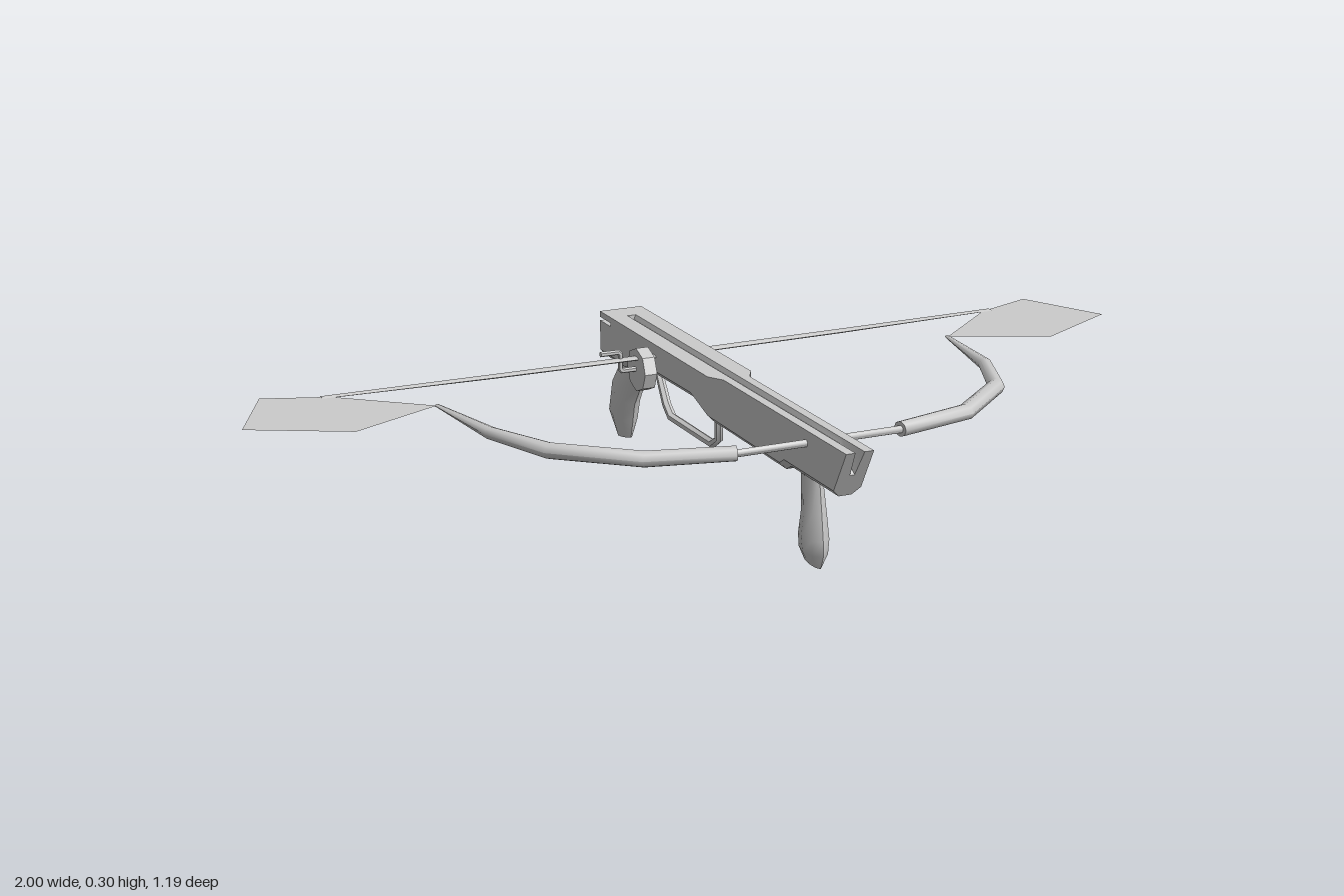
import * as THREE from 'three';
import { toCreasedNormals } from 'three/addons/utils/BufferGeometryUtils.js';

const V = (x, y, z) => new THREE.Vector3(x, y, z);
const grey = new THREE.MeshStandardMaterial({ color: 0xcccccc });
const thin = new THREE.MeshStandardMaterial({ color: 0xcccccc, side: THREE.DoubleSide });

// Skin a list of rings; outline is the 2D contour used to triangulate the caps
function loft(rings, outline, crease = 0.7) {
  const n = outline.length, last = (rings.length - 1) * n, index = [];
  for (let i = 0; i < rings.length - 1; i++) {
    for (let j = 0; j < n; j++) {
      const a = i * n + j, b = i * n + (j + 1) % n;
      index.push(a, b, b + n, a, b + n, a + n);
    }
  }
  for (const [a, b, c] of THREE.ShapeUtils.triangulateShape(outline, [])) {
    index.push(a, c, b, last + a, last + b, last + c);
  }
  const geo = new THREE.BufferGeometry().setFromPoints(rings.flat());
  geo.setIndex(index);
  return toCreasedNormals(geo, crease);
}

// Sweep an elliptical ring along a planar path; each point is [x, y, z, inPlaneRadius, acrossRadius]
function sweep(points, up, sides = 8, crease = 0.9) {
  const path = points.map(p => V(p[0], p[1], p[2]));
  const circle = [];
  for (let j = 0; j < sides; j++) {
    const a = (j / sides) * Math.PI * 2;
    circle.push(new THREE.Vector2(Math.cos(a), Math.sin(a)));
  }
  const rings = path.map((p, i) => {
    const t = V(0, 0, 0);
    if (i > 0) t.add(p.clone().sub(path[i - 1]).normalize());
    if (i < path.length - 1) t.add(path[i + 1].clone().sub(p).normalize());
    const side = up.clone().cross(t.normalize());
    const [, , , r1, r2 = r1] = points[i];
    return circle.map(c => p.clone().addScaledVector(side, c.x * r1).addScaledVector(up, c.y * r2));
  });
  return loft(rings, circle, crease);
}

// Stock section: flat top with a groove of depth d, chamfered underside
function section(w, b, t, d) {
  const c = 0.016, g = 0.01;
  const half = [[w - c, b], [w, b + c], [w, t], [g, t], [g * 0.5, t - d]];
  const mirrored = half.map(([x, y]) => [-x, y]).reverse();
  return [...half, ...mirrored].map(([x, y]) => new THREE.Vector2(x, y));
}

// Stations are [z, halfWidth, bottom, grooveDepth, frontRake]
function stock(stations, top) {
  const outlines = stations.map(([, w, b, d]) => section(w, b, top, d));
  const rings = stations.map(([z, , b, , rake = 0], i) =>
    outlines[i].map(p => V(p.x, p.y, z + rake * (p.y - b))));
  return loft(rings, outlines[0], 0.6);
}

export function createModel() {
  const model = new THREE.Group();
  const add = (name, geo, material = grey) => {
    const mesh = new THREE.Mesh(geo, material);
    mesh.name = name;
    model.add(mesh);
    return mesh;
  };
  const X = V(1, 0, 0), Y = V(0, 1, 0), Z = V(0, 0, 1);

  // Stock, with a slot left open between tail and top plate at the rear
  add('stock', stock([
    [-0.49, 0.05, 0.2, 0.01],
    [-0.45, 0.05, 0.2, 0.01],
    [-0.38, 0.05, 0.228, 0.01],
    [-0.07, 0.05, 0.232, 0.01],
    [0.015, 0.05, 0.205, 0.01],
    [0.05, 0.03, 0.19, 0.01],
    [0.31, 0.03, 0.188, 0.01],
    [0.33, 0.03, 0.2, 0.01],
    [0.5, 0.03, 0.2, 0.01],
    [0.535, 0.03, 0.2, 0.055, 0.57],
  ], 0.305));
  add('stockTail', stock([[-0.55, 0.05, 0.2, 0.002], [-0.489, 0.05, 0.2, 0.002]], 0.284));
  const lip = add('rearTopPlate', new THREE.BoxGeometry(0.1, 0.013, 0.062));
  lip.position.set(0, 0.2985, -0.519);

  // Grips
  add('frontGrip', sweep([
    [0, 0.016, 0.402, 0.034, 0.009],
    [0, 0.045, 0.403, 0.044, 0.024],
    [0, 0.075, 0.404, 0.042, 0.028],
    [0, 0.125, 0.404, 0.035, 0.023],
    [0, 0.215, 0.392, 0.033, 0.016],
  ], X));
  add('rearGrip', sweep([
    [0, 0.011, -0.532, 0.033, 0.01],
    [0, 0.062, -0.541, 0.054, 0.026],
    [0, 0.122, -0.523, 0.051, 0.028],
    [0, 0.185, -0.475, 0.048, 0.024],
    [0, 0.222, -0.448, 0.056, 0.022],
  ], X));

  // Trigger guard with its hooked rear end
  add('triggerGuard', sweep([
    [0, 0.24, -0.036, 0.009],
    [0, 0.148, -0.036, 0.009],
    [0, 0.129, -0.066, 0.01],
    [0, 0.129, -0.275, 0.01],
    [0, 0.15, -0.302, 0.01],
    [0, 0.206, -0.338, 0.009],
    [0, 0.211, -0.352, 0.008],
    [0, 0.196, -0.374, 0.005],
  ], X, 6));

  // Bow: centre rod, then a limb, fin and string on each side
  add('bowRod', sweep([[-0.2, 0.278, 0.425, 0.008], [0.2, 0.278, 0.425, 0.008]], Y));
  for (const s of [1, -1]) {
    const side = s > 0 ? 'left' : 'right';
    add(side + 'Limb', sweep([
      [s * 0.18, 0.278, 0.424, 0.018, 0.016],
      [s * 0.355, 0.278, 0.38, 0.019, 0.017],
      [s * 0.5, 0.278, 0.253, 0.018, 0.017],
      [s * 0.562, 0.278, 0.1, 0.015, 0.013],
      [s * 0.594, 0.278, -0.12, 0.005, 0.003],
    ], Y));
    const outline = [[0.595, -0.118], [0.8, -0.022], [1, -0.13], [0.907, -0.32], [0.77, -0.268]];
    const fin = new THREE.Shape(outline.map(([x, z]) => new THREE.Vector2(s * x, -z)));
    add(side + 'Fin', new THREE.ShapeGeometry(fin).rotateX(-Math.PI / 2).translate(0, 0.278, 0), thin);
    add(side + 'String', sweep([
      [0, 0.278, -0.257, 0.014, 0.004],
      [s * 0.4, 0.278, -0.261, 0.011, 0.004],
      [s * 0.79, 0.278, -0.272, 0.009, 0.002],
    ], Y, 6));
  }

  // Winding wheel and crank on the right flank
  const wheel = add('windingWheel', new THREE.CylinderGeometry(0.048, 0.048, 0.028, 8).rotateZ(Math.PI / 2));
  wheel.geometry = toCreasedNormals(wheel.geometry, 0.5);
  wheel.position.set(-0.077, 0.252, -0.258);
  add('wheelAxle', sweep([[-0.04, 0.252, -0.258, 0.015], [-0.066, 0.252, -0.258, 0.015]], Z));
  add('crank', sweep([
    [-0.085, 0.253, -0.262, 0.006],
    [-0.122, 0.253, -0.262, 0.006],
    [-0.126, 0.257, -0.262, 0.006],
    [-0.126, 0.29, -0.262, 0.006],
    [-0.13, 0.295, -0.262, 0.006],
    [-0.172, 0.295, -0.262, 0.006],
  ], Z, 6));

  return model;
}
